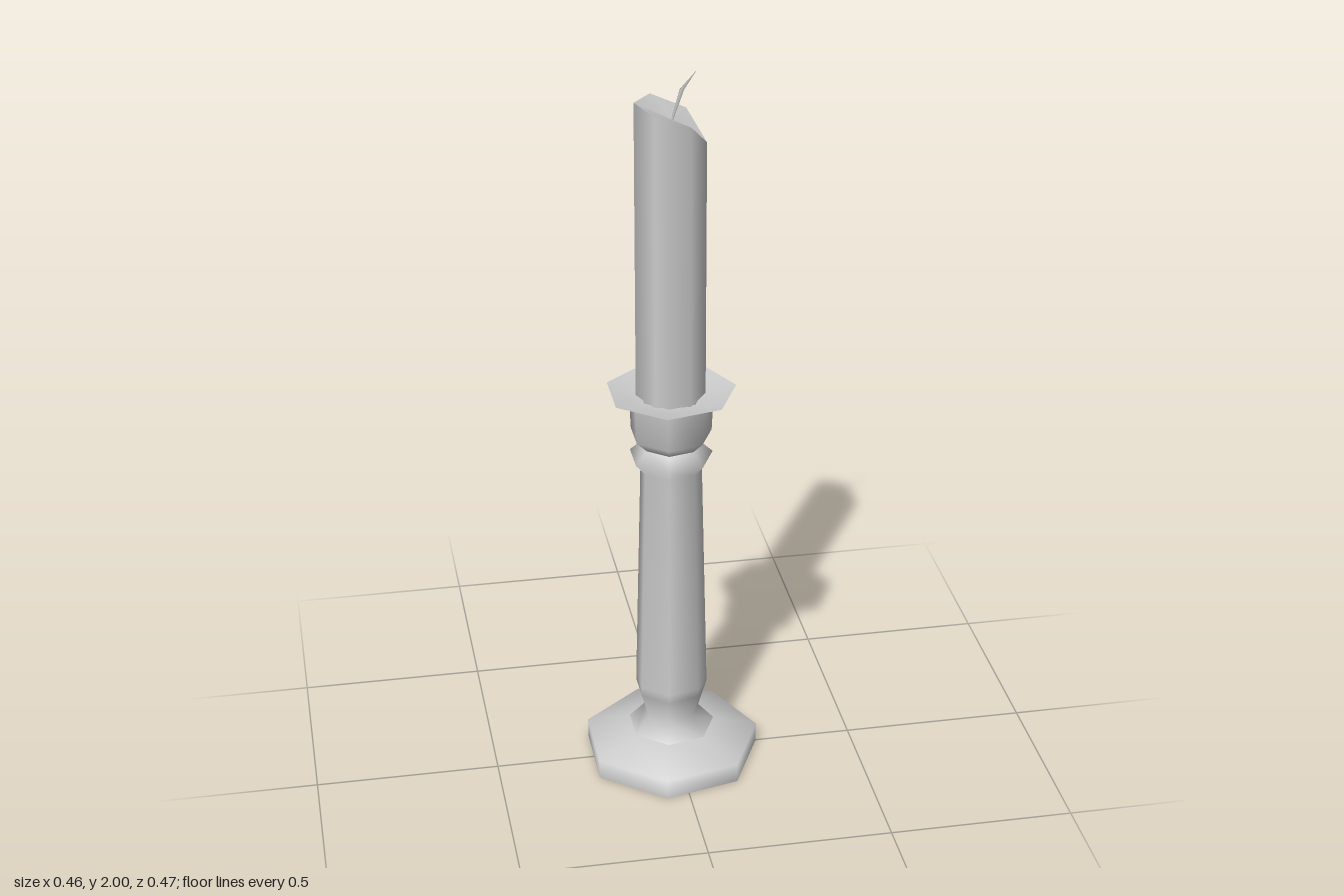
import * as THREE from 'three';

const material = new THREE.MeshStandardMaterial({ color: 0xcccccc, side: THREE.DoubleSide });

// Turned part: profile of [radius, y] from bottom to top, with few sides
function turned(name, profile, sides, start = Math.PI / 2) {
  const points = profile.map(([r, y]) => new THREE.Vector2(r, y));
  const mesh = new THREE.Mesh(new THREE.LatheGeometry(points, sides, start), material);
  mesh.name = name;
  return mesh;
}

// Gives one ring of a turned part its own height at each corner
function setRing(mesh, ring, rings, heights) {
  const pos = mesh.geometry.attributes.position;
  for (let i = 0; i <= heights.length; i++) {
    pos.setY(i * rings + ring, heights[i % heights.length]);
  }
  mesh.geometry.computeBoundingSphere();
}

export function createModel() {
  const group = new THREE.Group();

  // Holder: hollow foot, turned stem, cup and drip tray, all seven-sided
  const holder = new THREE.Group();
  holder.name = 'holder';
  holder.position.x = -0.01;
  holder.add(
    turned('foot', [[0.243, 0], [0.243, 0.055], [0.12, 0.092]], 7),
    turned('stem', [
      [0.12, 0.092], [0.077, 0.14], [0.1, 0.215], [0.1, 0.24], [0.084, 0.9],
      [0.113, 0.935], [0.078, 0.968],
    ], 7),
    turned('cup', [[0.078, 0.968], [0.11, 1.0], [0.115, 1.112]], 7),
    turned('dripTray', [[0.085, 1.11], [0.115, 1.112], [0.175, 1.125]], 7),
  );
  group.add(holder);

  // Candle: six-sided, slightly twisted, melted down towards +x
  const start = Math.PI / 2 - 0.1;
  const rim = [1.81, 1.875, 1.915, 1.92, 1.91, 1.88];
  const candle = new THREE.Group();
  candle.name = 'candle';
  candle.position.set(-0.009, 0, -0.006);
  const body = turned('candleBody', [[0.092, 1.1], [0.092, 1.9]], 6, start);
  setRing(body, 1, 2, rim);
  const top = turned('meltedTop', [[0.092, 1.9], [0, 1.875]], 6, start);
  setRing(top, 0, 2, rim);
  top.geometry.computeVertexNormals();
  candle.add(body, top);

  // Wick: thin leaf shape leaning towards +x
  const wick = turned('wick', [[0.003, 1.86], [0.007, 1.95], [0, 2]], 3);
  const pos = wick.geometry.attributes.position;
  for (let i = 0; i < pos.count; i++) {
    const t = (pos.getY(i) - 1.86) / 0.14;
    pos.setX(i, pos.getX(i) + 0.067 * t * t);
    pos.setZ(i, pos.getZ(i) * 0.7);
  }
  wick.geometry.computeVertexNormals();
  candle.add(wick);
  group.add(candle);

  return group;
}
